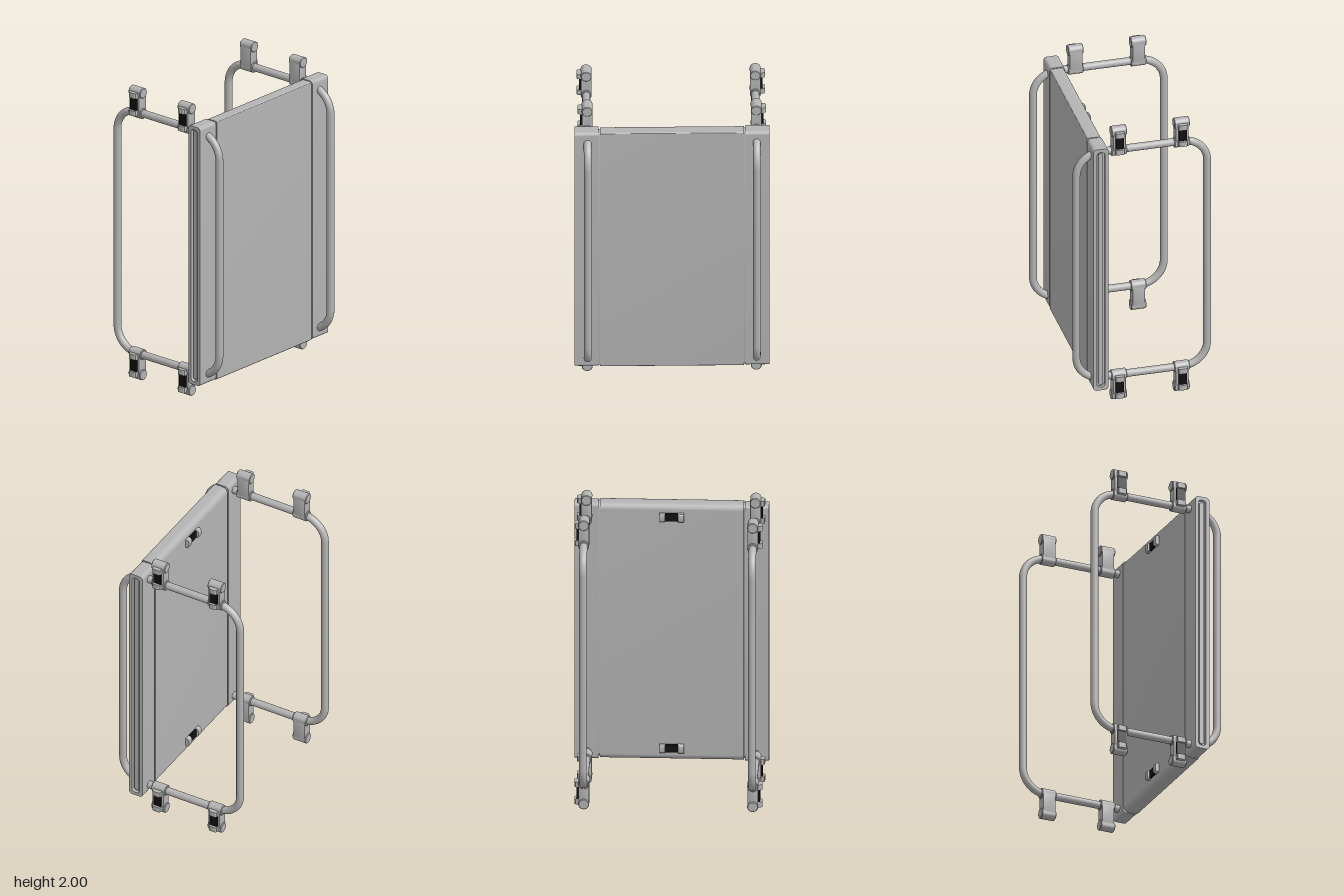
import * as THREE from 'three';
import { toCreasedNormals } from 'three/addons/utils/BufferGeometryUtils.js';

const grey = new THREE.MeshStandardMaterial({ color: 0xb4b4b4 });
grey.name = 'grey';
const black = new THREE.MeshStandardMaterial({ color: 0x111111 });
black.name = 'black';

const MID_Y = 1.0;

function mesh(name, geometry, material = grey) {
  const m = new THREE.Mesh(geometry, material);
  m.name = name;
  return m;
}

// Rounded rectangle centred on the origin; rl and rr are the left and right corner radii
function roundRect(w, h, rl, rr = rl, T = THREE.Shape) {
  const x = w / 2, y = h / 2, s = new T();
  s.moveTo(-x + rl, -y);
  s.lineTo(x - rr, -y);
  s.absarc(x - rr, -y + rr, rr, -Math.PI / 2, 0);
  s.lineTo(x, y - rr);
  s.absarc(x - rr, y - rr, rr, 0, Math.PI / 2);
  s.lineTo(-x + rl, y);
  s.absarc(-x + rl, y - rl, rl, Math.PI / 2, Math.PI);
  s.lineTo(-x, -y + rl);
  s.absarc(-x + rl, -y + rl, rl, Math.PI, Math.PI * 1.5);
  return s;
}

// Extrusion centred on its depth, with smooth curves and sharp edges
function extrude(shape, depth, bevel = 0) {
  const g = new THREE.ExtrudeGeometry(shape, {
    depth: depth - 2 * bevel, curveSegments: 8, bevelEnabled: bevel > 0,
    bevelSize: bevel, bevelThickness: bevel, bevelOffset: -bevel, bevelSegments: 2,
  });
  g.translate(0, 0, -(depth - 2 * bevel) / 2);
  return toCreasedNormals(g, 0.7);
}

// Same, running along x (the shape's left side becomes the front)
const extrudeX = (shape, depth) => extrude(shape, depth).rotateY(Math.PI / 2);

// Rounded rectangular loop in the y-z plane
function loopGeometry(halfZ, halfY, r, tube) {
  const path = new THREE.CurvePath();
  const v = (z, y) => new THREE.Vector3(0, y, z);
  const corners = [[1, 1], [-1, 1], [-1, -1], [1, -1]];
  const k = r * 0.4477; // bezier handle distance from the corner
  corners.forEach(([a, b], i) => {
    const [c, d] = corners[(i + 1) % 4];
    const onY = v(a * halfZ, b * (halfY - r)), onZ = v(a * (halfZ - r), b * halfY);
    const hY = v(a * halfZ, b * (halfY - k)), hZ = v(a * (halfZ - k), b * halfY);
    const even = i % 2 === 0;
    const end = even ? onZ : onY;
    path.add(even ? new THREE.CubicBezierCurve3(onY, hY, hZ, onZ)
      : new THREE.CubicBezierCurve3(onZ, hZ, hY, onY));
    path.add(new THREE.LineCurve3(end,
      even ? v(c * (halfZ - r), d * halfY) : v(c * halfZ, d * (halfY - r))));
  });
  return new THREE.TubeGeometry(path, 320, tube, 16, true);
}

// Strap between two tabs, running along y and standing out along +z
function strapFastener() {
  const g = new THREE.Group();
  g.name = 'strapFastener';
  const tabShape = new THREE.Shape();
  tabShape.moveTo(-0.03, -0.005);
  tabShape.lineTo(0.03, -0.005);
  tabShape.lineTo(0.03, 0.012);
  tabShape.absarc(0.015, 0.012, 0.015, 0, Math.PI / 2);
  tabShape.lineTo(-0.015, 0.027);
  tabShape.absarc(-0.015, 0.012, 0.015, Math.PI / 2, Math.PI);
  const tabGeo = extrude(tabShape, 0.036).rotateX(Math.PI / 2);
  for (const s of [-1, 1]) {
    const tab = mesh('strapTab', tabGeo);
    tab.position.y = s * 0.06;
    g.add(tab);
  }
  const strap = mesh('strap', new THREE.BoxGeometry(0.054, 0.09, 0.014), black);
  strap.position.z = 0.005;
  g.add(strap);
  return g;
}

// Upright clamp with a collar at each end and a strap on its outer side
function clamp(side) {
  const g = new THREE.Group();
  g.name = 'clamp';
  g.add(mesh('clampBody', extrude(roundRect(0.068, 0.208, 0.034), 0.084, 0.004)));
  const collar = [[0, -0.05], [0.031, -0.05], [0.035, -0.046], [0.035, 0.046], [0.031, 0.05], [0, 0.05]]
    .map(([r, y]) => new THREE.Vector2(r, y));
  const collarGeo = toCreasedNormals(new THREE.LatheGeometry(collar, 24).rotateX(Math.PI / 2), 0.6);
  for (const s of [-1, 1]) {
    const c = mesh('clampCollar', collarGeo);
    c.position.y = s * 0.07;
    g.add(c);
  }
  const f = strapFastener();
  f.rotation.y = side * Math.PI / 2;
  f.position.x = side * 0.034;
  g.add(f);
  return g;
}

export function createModel() {
  const model = new THREE.Group();
  model.name = 'panelWithLoops';

  // Panel: broad middle, two slotted end bars, and a core showing in the seams and slots
  const panel = new THREE.Group();
  panel.name = 'panel';
  panel.position.set(0, MID_Y + 0.005, 0.29);
  panel.add(mesh('middlePanel', extrudeX(roundRect(0.1, 1.77, 0.01, 0.04), 0.92)));
  panel.add(mesh('panelCore', extrudeX(roundRect(0.084, 1.754, 0.01, 0.036), 1.2)));

  const barShape = roundRect(0.1, 1.77, 0.022);
  barShape.holes.push(roundRect(0.054, 1.724, 0.022, 0.022, THREE.Path));
  const barGeo = extrudeX(barShape, 0.153);
  const ridgeGeo = extrudeX(roundRect(0.028, 1.698, 0.012), 0.06);
  for (const s of [-1, 1]) {
    const bar = mesh('endBar', barGeo);
    bar.position.x = s * 0.5455;
    const ridge = mesh('slotRidge', ridgeGeo);
    ridge.position.x = s * 0.582;
    panel.add(bar, ridge);
  }

  // Strap fasteners lying across the back of the panel
  for (const s of [-1, 1]) {
    const f = strapFastener();
    f.name = 'backFastener';
    f.rotation.set(0, Math.PI, Math.PI / 2);
    f.position.set(0, s * 0.8, -0.05);
    panel.add(f);
  }
  model.add(panel);

  // Tubular loops, each carrying four clamps
  const loopGeo = loopGeometry(0.432, 0.827, 0.16, 0.025);
  for (const side of [-1, 1]) {
    const frame = new THREE.Group();
    frame.name = side > 0 ? 'leftFrame' : 'rightFrame';
    frame.position.set(side * 0.54, MID_Y, 0);
    frame.add(mesh('tubeLoop', loopGeo));
    for (const z of [0.155, -0.26]) {
      for (const s of [-1, 1]) {
        const c = clamp(side);
        c.position.set(0, s * 0.895, z);
        frame.add(c);
      }
    }
    model.add(frame);
  }
  return model;
}
